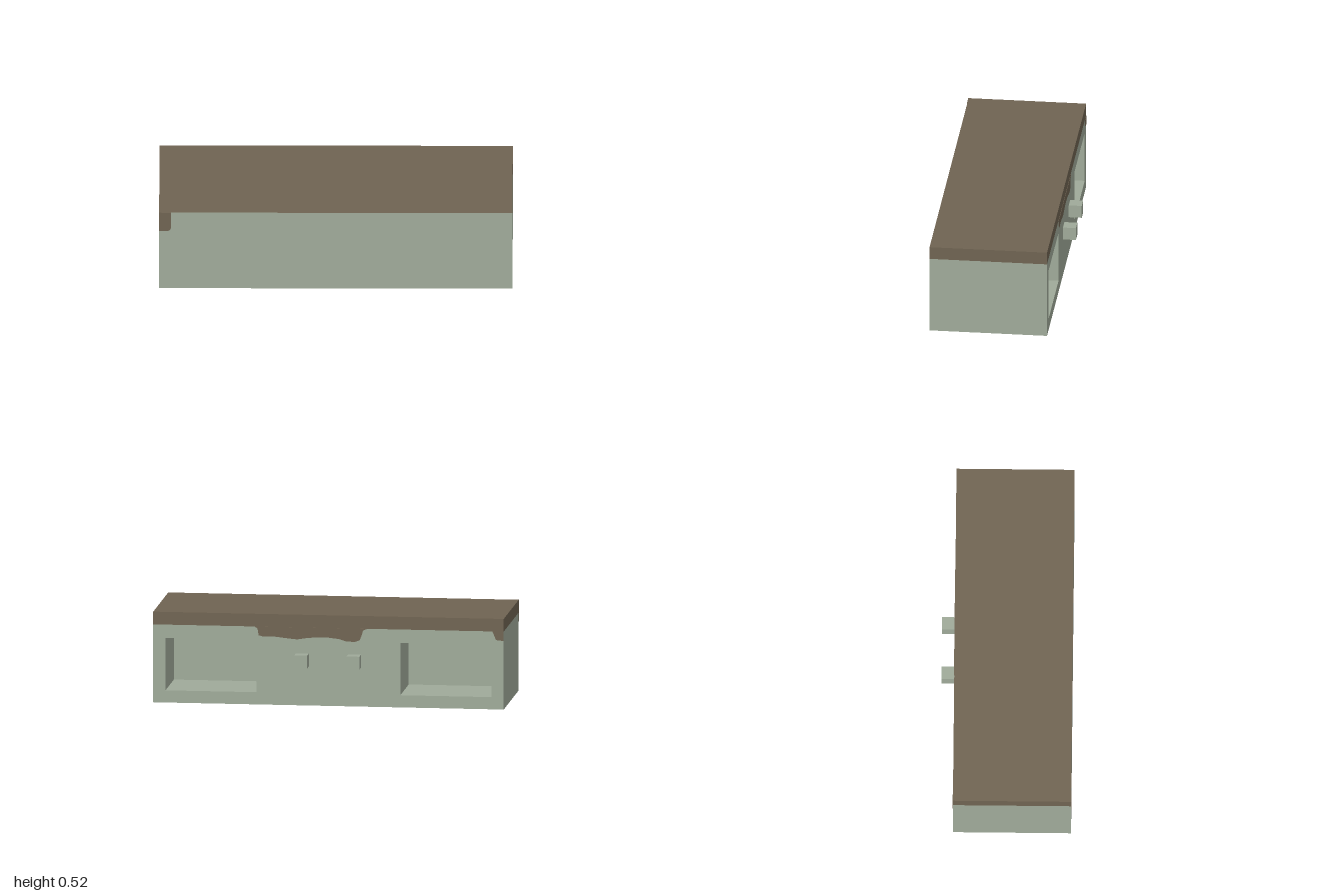
import * as THREE from 'three';

export function createModel() {
  const group = new THREE.Group();
  const green = new THREE.MeshStandardMaterial({ color: 0xa0ab9a });
  green.name = 'sage green';
  const brown = new THREE.MeshStandardMaterial({ color: 0x706452 });
  brown.name = 'soil brown';

  const add = (name, geometry, material, x, y, z) => {
    const mesh = new THREE.Mesh(geometry, material);
    mesh.name = name;
    mesh.position.set(x, y, z);
    group.add(mesh);
  };
  const polygon = (points) => new THREE.Shape(points.map(([x, y]) => new THREE.Vector2(x, y)));
  const plate = (shape, depth) => new THREE.ExtrudeGeometry(shape, { depth, bevelEnabled: false });
  const rect = (x0, x1, y0, y1) => [[x0, y0], [x1, y0], [x1, y1], [x0, y1]];

  const back = -0.297, front = 0.372, middle = 0.078; // z of the faces and the recess floor
  const capBase = 0.447, top = 0.52;

  // Rear half of the body, with two deep rectangular recesses open to the back
  const frame = polygon(rect(-1, 1, 0, capBase));
  for (const [x0, x1] of [[-0.93, -0.41], [0.41, 0.93]]) {
    frame.holes.push(polygon(rect(x0, x1, 0.07, 0.37)));
  }
  add('recessedBody', plate(frame, middle - back), green, 0, 0, back);

  // Solid front half of the body
  add('frontBody', new THREE.BoxGeometry(2, capBase, front - middle), green,
    0, capBase / 2, (front + middle) / 2);

  // Brown top layer, whose front face stays green
  add('topLayer', new THREE.BoxGeometry(2, top - capBase, front - back),
    [brown, brown, brown, brown, green, brown], 0, (top + capBase) / 2, (front + back) / 2);

  // Small drip wrapping round the front corner
  add('frontDrip', plate(polygon([
    [-1, 0.395], [-0.95, 0.395], [-0.938, 0.402], [-0.932, 0.42], [-0.932, top], [-1, top],
  ]), 0.002), brown, 0, 0, front);

  // Uneven drips along the back edge
  add('backDrip', plate(polygon([
    [0.42, capBase], [0.405, 0.435], [0.398, 0.397], [0.37, 0.39], [0.32, 0.393], [0.25, 0.385],
    [0.18, 0.378], [0.13, 0.386], [0.07, 0.392], [0, 0.392], [-0.06, 0.385], [-0.1, 0.373],
    [-0.15, 0.37], [-0.178, 0.38], [-0.19, 0.41], [-0.197, 0.435], [-0.22, capBase],
  ]), 0.002), brown, 0, 0, back - 0.002);
  add('backCornerDrip', plate(polygon([
    [-0.935, capBase], [-0.945, 0.425], [-0.955, 0.4], [-0.97, 0.395], [-1, 0.395], [-1, capBase],
  ]), 0.002), brown, 0, 0, back - 0.002);

  // Pair of square pegs between the recesses
  for (const side of [-1, 1]) {
    add(side > 0 ? 'leftPeg' : 'rightPeg', new THREE.BoxGeometry(0.074, 0.074, 0.075), green,
      side * 0.149, 0.261, back - 0.0365);
  }
  return group;
}
